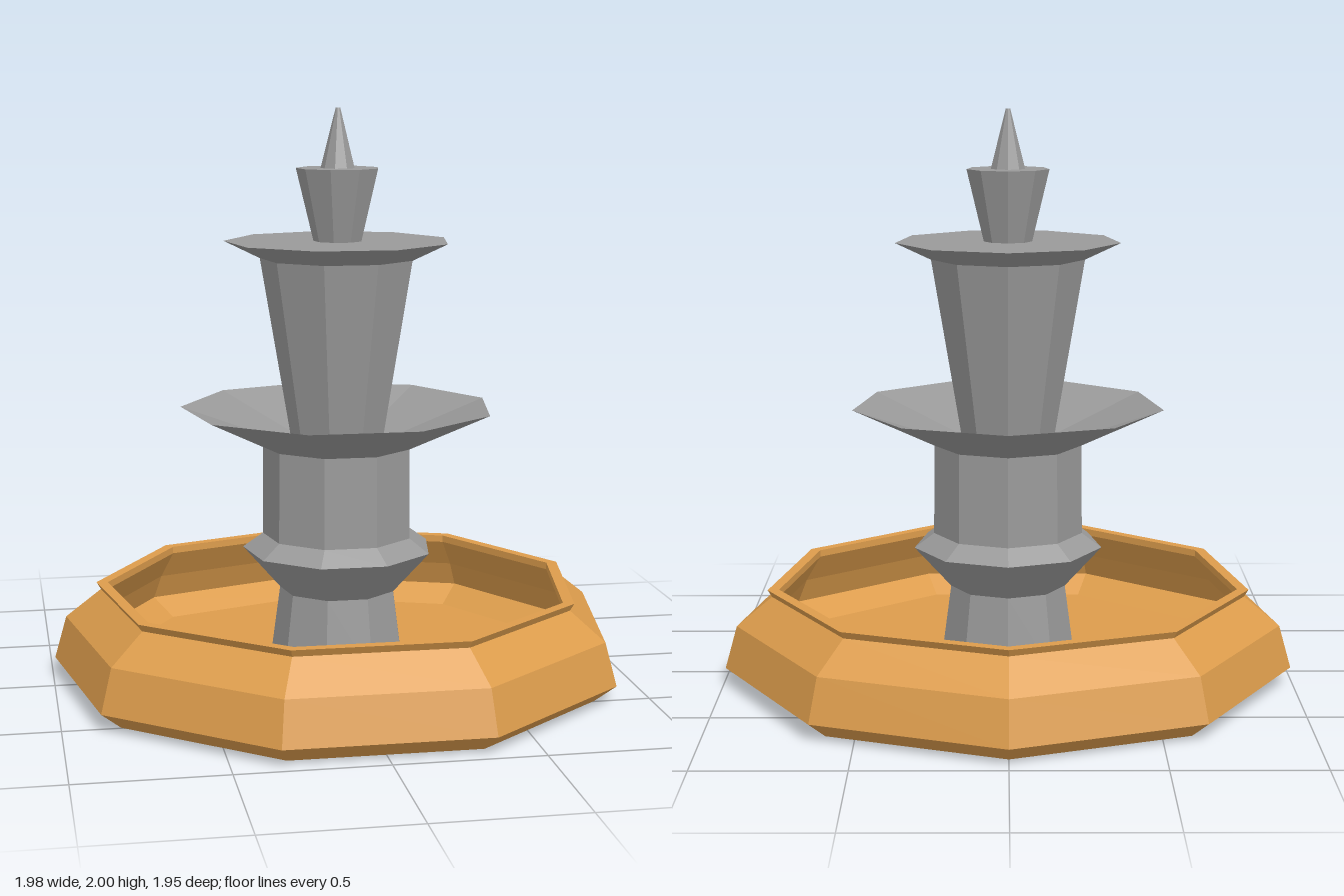
import * as THREE from 'three';

const SIDES = 9;

// Faceted nine-sided turning from a [radius, height] profile, one corner pointing to the back.
// Outer surfaces run upwards, inner surfaces downwards.
function turned(name, profile, material) {
  const points = profile.map(([r, y]) => new THREE.Vector2(r, y));
  const geometry = new THREE.LatheGeometry(points, SIDES, Math.PI).toNonIndexed();
  geometry.computeVertexNormals(); // flat facets
  const mesh = new THREE.Mesh(geometry, material);
  mesh.name = name;
  return mesh;
}

export function createModel() {
  const sandstone = new THREE.MeshStandardMaterial({ color: 0xdc9c4c });
  sandstone.name = 'sandstone';
  const greyStone = new THREE.MeshStandardMaterial({ color: 0x999999 });
  greyStone.name = 'greyStone';

  const fountain = new THREE.Group();
  fountain.name = 'fountain';

  fountain.add(
    // Hollow pool: underside, outer wall, rim, undercut inner wall, floor
    turned('basin', [
      [0, 0], [0.93, 0], [1.007, 0.06], [0.965, 0.21], [0.84, 0.31], [0.855, 0.335],
      [0.815, 0.335], [0.815, 0.31], [0.88, 0.21], [0.92, 0.12], [0.82, 0.06], [0, 0.06],
    ], sandstone),

    // Foot, collar and straight shaft
    turned('lowerPillar', [
      [0.24, 0.06], [0.205, 0.32], [0.335, 0.465], [0.265, 0.515], [0.262, 0.83],
    ], greyStone),

    // Wide dish with a sloping inside
    turned('lowerBowl', [[0.262, 0.83], [0.55, 0.965], [0.17, 0.835]], greyStone),

    // Shaft widening upwards
    turned('upperPillar', [[0.16, 0.83], [0.27, 1.485]], greyStone),

    // Smaller dish, flat on top
    turned('upperBowl', [[0.27, 1.485], [0.395, 1.545], [0, 1.545]], greyStone),

    turned('topCup', [[0.085, 1.545], [0.145, 1.795], [0, 1.795]], greyStone),

    turned('spire', [[0.06, 1.795], [0.008, 2], [0, 2]], greyStone),
  );

  // Centre the odd-sided footprint front to back
  for (const part of fountain.children) part.position.z = 0.03;

  return fountain;
}
